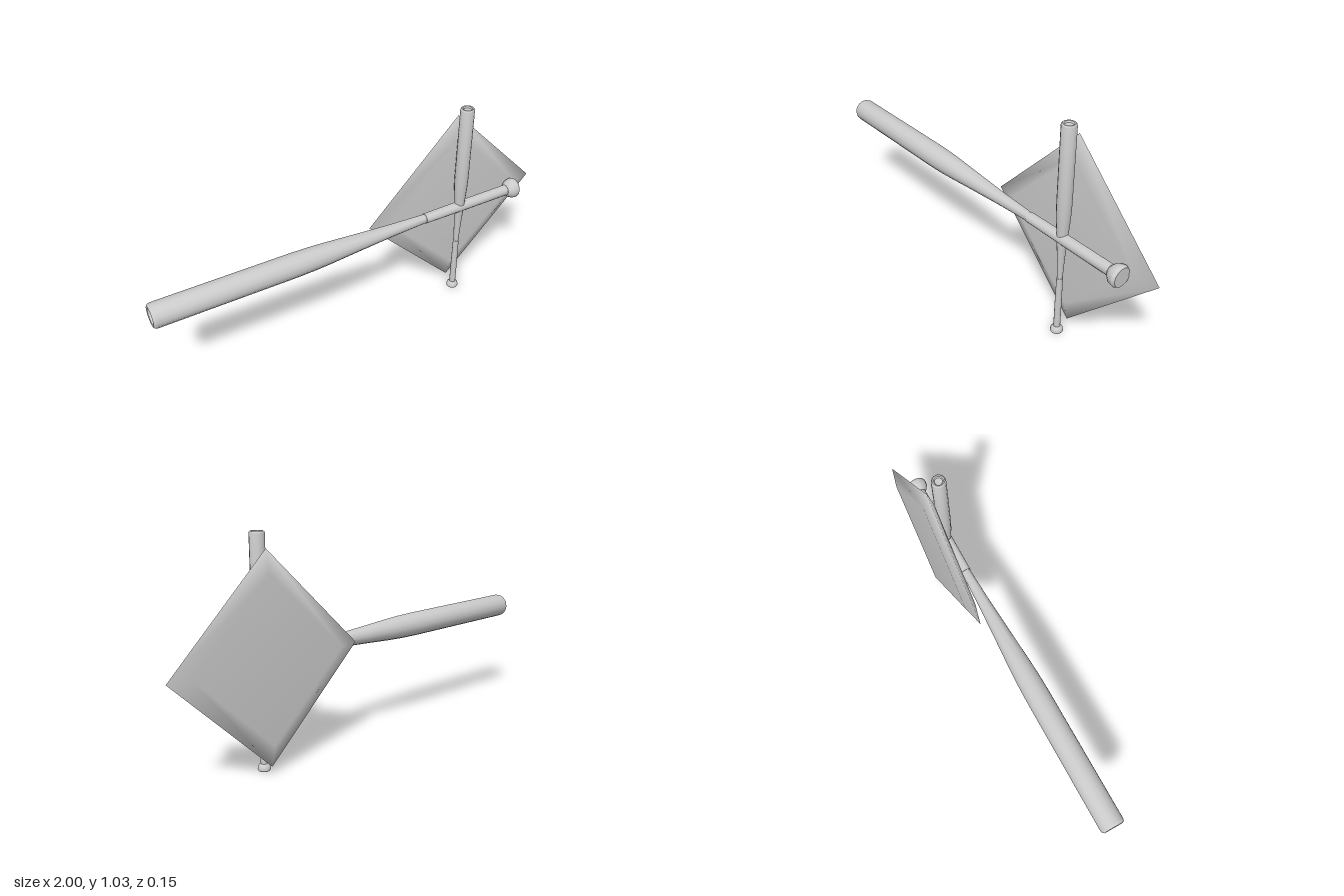
import * as THREE from 'three';
import { toCreasedNormals } from 'three/addons/utils/BufferGeometryUtils.js';

const material = new THREE.MeshStandardMaterial({ color: 0xcccccc });

function lathe(points, segments) {
  return new THREE.LatheGeometry(points.map(([r, y]) => new THREE.Vector2(r, y)), segments);
}

function addPart(parent, name, geometry) {
  const mesh = new THREE.Mesh(geometry, material);
  mesh.name = name;
  parent.add(mesh);
}

// A bat standing on its knob, 1.87 long, its axis along y
function createBat(name) {
  const bat = new THREE.Group();
  bat.name = name;
  const smooth = (points) => toCreasedNormals(lathe(points, 14), 0.7);
  addPart(bat, 'knob', smooth([
    [0, 0], [0.043, 0], [0.05, 0.012], [0.046, 0.035], [0.036, 0.05], [0.027, 0.058], [0, 0.058],
  ]));
  addPart(bat, 'grip', smooth([[0.026, 0.055], [0.026, 0.3], [0.024, 0.535], [0, 0.535]]));
  // Tapered shaft and barrel, with a shallow dish in the end
  addPart(bat, 'barrel', smooth([
    [0.021, 0.53], [0.029, 0.72], [0.04, 0.9], [0.05, 1.05], [0.054, 1.13], [0.056, 1.22],
    [0.056, 1.855], [0.053, 1.865], [0.046, 1.87], [0.036, 1.868], [0.03, 1.856], [0, 1.852],
  ]));
  return bat;
}

export function createModel() {
  const model = new THREE.Group();
  model.name = 'crossedBatsAndBase';

  const longBat = createBat('longBat');
  longBat.rotation.z = Math.PI / 2;
  longBat.position.set(0.87, 0.5, 0.016);
  model.add(longBat);

  const shortBat = createBat('shortBat');
  shortBat.scale.set(0.58, 0.55, 0.58);
  shortBat.position.set(0.535, 0, 0.013);
  model.add(shortBat);

  // Diamond base plate: a four-sided slab bevelled to a sharp rim
  const base = lathe([[0, -0.0255], [0.365, -0.0255], [0.465, 0], [0.365, 0.0255], [0, 0.0255]], 4);
  base.rotateX(Math.PI / 2);
  base.translate(0.535, 0.5, -0.0475);
  addPart(model, 'basePlate', base);

  return model;
}
